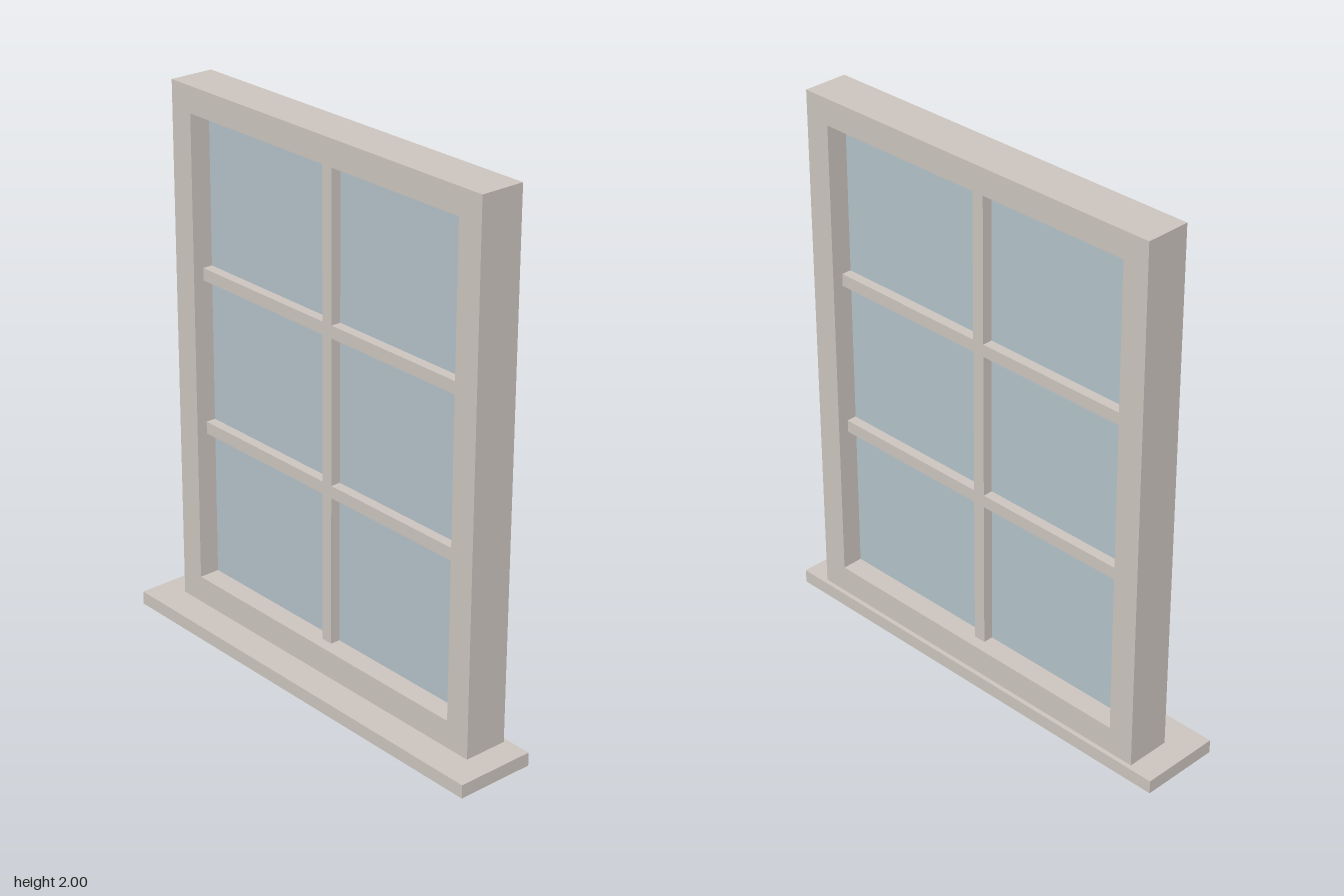
import * as THREE from 'three';

const FRAME_Z = -0.05; // mid-depth of frame, bars and glass
const FRAME_DEPTH = 0.167;
const OPEN = { x: 0.652, y0: 0.152, y1: 1.904 };

const paint = new THREE.MeshStandardMaterial({ color: 0xccc5be });
const glassMaterial = new THREE.MeshStandardMaterial({ color: 0xb3c2c9 });

function rect(path, x0, y0, x1, y1) {
  path.moveTo(x0, y0);
  path.lineTo(x1, y0);
  path.lineTo(x1, y1);
  path.lineTo(x0, y1);
  path.closePath();
  return path;
}

export function createModel() {
  const group = new THREE.Group();
  group.name = 'window';

  const addBox = (name, w, h, d, x, y, z, material = paint) => {
    const mesh = new THREE.Mesh(new THREE.BoxGeometry(w, h, d), material);
    mesh.name = name;
    mesh.position.set(x, y, z);
    group.add(mesh);
  };

  // Outer frame: one solid surround with a rectangular opening
  const outline = rect(new THREE.Shape(), -0.75, 0.05, 0.75, 2);
  outline.holes.push(rect(new THREE.Path(), -OPEN.x, OPEN.y0, OPEN.x, OPEN.y1));
  const frame = new THREE.Mesh(
    new THREE.ExtrudeGeometry(outline, { depth: FRAME_DEPTH, bevelEnabled: false }),
    paint
  );
  frame.name = 'frame';
  frame.position.z = FRAME_Z - FRAME_DEPTH / 2;
  group.add(frame);

  // Sill board under the frame
  addBox('sill', 1.7, 0.05, 0.3, 0, 0.025, 0);

  // Glass pane
  const height = OPEN.y1 - OPEN.y0;
  const midY = (OPEN.y0 + OPEN.y1) / 2;
  addBox('glass', OPEN.x * 2, height, 0.01, 0, midY, FRAME_Z, glassMaterial);

  // Glazing bars: one upright, with two rails cut to meet its sides
  const bar = 0.046, barDepth = 0.085;
  addBox('verticalBar', bar, height, barDepth, 0, midY, FRAME_Z);
  const railLength = OPEN.x - bar / 2;
  for (const y of [0.736, 1.318]) {
    for (const side of [-1, 1]) {
      addBox('horizontalBar', railLength, bar, barDepth, side * (bar + railLength) / 2, y, FRAME_Z);
    }
  }

  return group;
}
